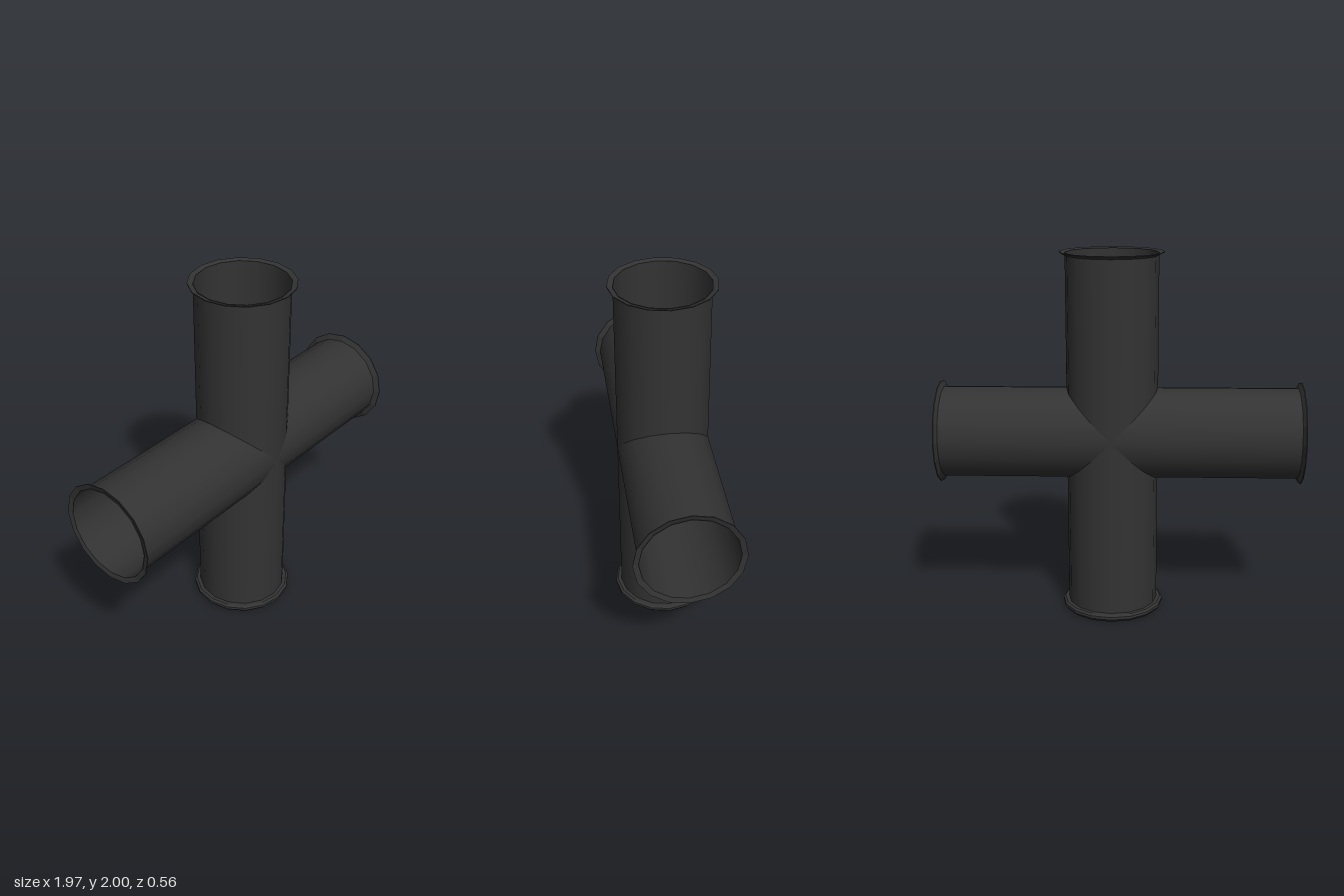
import * as THREE from 'three';

const SIDES = 16;
const RADIUS = 0.25;

// Pipe along +y from the junction; its inner end is mitred so four pipes meet cleanly
function mitredPipe(length) {
  const geo = new THREE.CylinderGeometry(RADIUS, RADIUS, 1, SIDES, 1, true);
  const pos = geo.attributes.position;
  for (let i = 0; i < pos.count; i++) {
    pos.setY(i, pos.getY(i) > 0 ? length : Math.abs(pos.getX(i)));
  }
  return geo;
}

// Flange ring; each profile point is [radius, distance back from the pipe's end]
function flangeRing(profile, length) {
  const points = profile.map(([r, back]) => new THREE.Vector2(r, length - back));
  return new THREE.LatheGeometry(points, SIDES);
}

export function createModel() {
  const group = new THREE.Group();
  const smooth = new THREE.MeshStandardMaterial({ color: 0x333333, side: THREE.DoubleSide });
  const faceted = new THREE.MeshStandardMaterial({ color: 0x333333, side: THREE.DoubleSide, flatShading: true });

  const flared = [[RADIUS, 0.02], [0.28, 0.005], [0.28, 0], [RADIUS, 0.01]];
  const thick = [[RADIUS, 0.04], [0.27, 0.04], [0.282, 0.03], [0.282, 0.015], [0.27, 0], [RADIUS, 0]];

  // Four arms around the off-centre junction
  const arms = [
    { name: 'top', length: 0.985, turn: 0, profile: flared },
    { name: 'right', length: 1.032, turn: Math.PI / 2, profile: flared },
    { name: 'bottom', length: 1.015, turn: Math.PI, profile: thick },
    { name: 'left', length: 0.942, turn: -Math.PI / 2, profile: flared },
  ];
  for (const { name, length, turn, profile } of arms) {
    const arm = new THREE.Group();
    arm.name = name + 'Arm';
    const pipe = new THREE.Mesh(mitredPipe(length - 0.005), smooth);
    pipe.name = name + 'Pipe';
    const flange = new THREE.Mesh(flangeRing(profile, length), faceted);
    flange.name = name + 'Flange';
    arm.add(pipe, flange);
    arm.position.set(0.045, 1.015, 0);
    arm.rotation.z = turn;
    group.add(arm);
  }
  return group;
}
